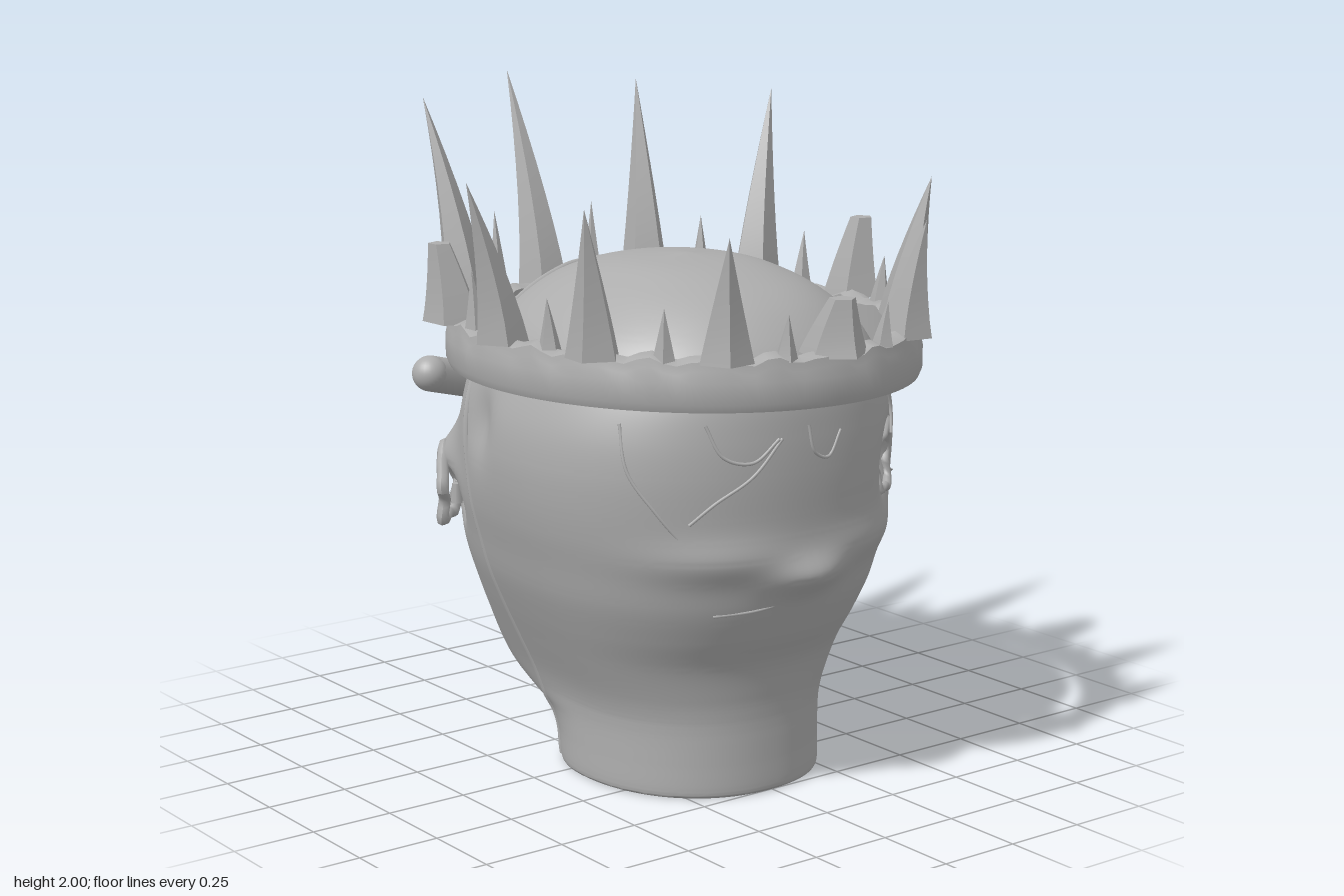
import * as THREE from 'three';
import { toCreasedNormals } from 'three/addons/utils/BufferGeometryUtils.js';

const V = (x, y, z) => new THREE.Vector3(x, y, z);
const ZC = 0.1, N = 2.15;

// Head cross-sections: height, half width, face z, nape z
const ROWS = [
  [0, 0.36, -0.25, 0.5], [0.015, 0.372, -0.26, 0.51], [0.1, 0.372, -0.285, 0.51],
  [0.16, 0.372, -0.36, 0.51], [0.2, 0.374, -0.51, 0.51], [0.24, 0.38, -0.62, 0.512],
  [0.3, 0.4, -0.675, 0.52], [0.4, 0.445, -0.7, 0.545], [0.5, 0.49, -0.715, 0.6],
  [0.6, 0.53, -0.725, 0.645], [0.7, 0.558, -0.715, 0.665], [0.8, 0.585, -0.69, 0.68],
  [0.9, 0.602, -0.65, 0.688], [1.0, 0.607, -0.64, 0.692], [1.1, 0.595, -0.632, 0.69],
  [1.2, 0.56, -0.61, 0.68], [1.29, 0.51, -0.56, 0.65], [1.36, 0.46, -0.5, 0.6],
  [1.43, 0.375, -0.4, 0.52], [1.48, 0.29, -0.29, 0.42], [1.52, 0.18, -0.13, 0.28], [1.54, 0.001, 0.099, 0.101],
];
const widths = new THREE.CatmullRomCurve3(ROWS.map(r => V(r[1], r[0], r[2])), false, 'catmullrom', 0.5);
const backs = new THREE.CatmullRomCurve3(ROWS.map(r => V(r[3], r[0], 0)), false, 'catmullrom', 0.5);
function section(t) {
  const a = widths.getPoint(t), b = backs.getPoint(t);
  return { y: a.y, rx: a.x, front: ZC - a.z, back: b.x - ZC };
}
function sectionAt(y) {
  let lo = 0, hi = 1;
  for (let i = 0; i < 24; i++) {
    const m = (lo + hi) / 2;
    if (widths.getPoint(m).y < y) lo = m; else hi = m;
  }
  return section(lo);
}
const arch = s => Math.pow(Math.max(0, 1 - Math.pow(Math.min(1, Math.abs(s)), N)), 1 / N);

// Soft swellings and hollows: centre, spread in x, y and z, depth
const BUMPS = [
  [0, 0.69, 0.66, 0.12, 0.055, 0.2, 0.055],       // mouth on the back mask
  [0.4, 0.95, 0.54, 0.07, 0.085, 0.07, -0.11],    // torn eye socket
  [-0.43, 0.78, -0.47, 0.07, 0.065, 0.08, -0.14], // torn cheek
  [0, 0.645, -0.72, 0.13, 0.032, 0.15, 0.045],    // upper lip
  [0, 0.565, -0.72, 0.11, 0.03, 0.15, 0.04],      // lower lip
  [0, 0.605, -0.72, 0.17, 0.012, 0.15, -0.02],    // mouth line
  [0, 0.6, -0.72, 0.22, 0.13, 0.2, 0.015],        // muzzle
  [0, 0.38, -0.7, 0.16, 0.09, 0.2, 0.012],        // chin
];
for (const s of [-1, 1]) BUMPS.push(
  [s * 0.25, 0.75, 0.6, 0.22, 0.065, 0.2, 0.025],   // ridge of the back mask
  [s * 0.39, 0.85, -0.5, 0.13, 0.12, 0.13, 0.1],    // cheeks
  [s * 0.58, 1.06, -0.16, 0.15, 0.1, 0.08, -0.035], // temples
  [s * 0.22, 0.96, -0.6, 0.1, 0.06, 0.2, -0.035],   // eye hollows
);

function headGeometry() {
  const U = 128, R = 210, pos = [], index = [];
  for (let j = -1; j <= R; j++) {
    const s = section(Math.max(0, j) / R);
    for (let i = 0; i <= U; i++) {
      const a = (i / U) * Math.PI * 2, sx = Math.sin(a), cz = Math.cos(a);
      if (j < 0) { pos.push(0, 0, ZC); continue; }
      const p = V(s.rx * Math.sign(sx) * Math.abs(sx) ** (2 / N), s.y,
        ZC + (cz > 0 ? s.back : s.front) * Math.sign(cz) * Math.abs(cz) ** (2 / N));
      let d = 0;
      for (const [x, y, z, wx, wy, wz, h] of BUMPS)
        d += h * Math.exp(-(((p.x - x) / wx) ** 2) - ((p.y - y) / wy) ** 2 - ((p.z - z) / wz) ** 2);
      p.addScaledVector(V(sx, 0, cz), d);
      pos.push(p.x, p.y, p.z);
    }
  }
  for (let j = 0; j <= R; j++) for (let i = 0; i < U; i++) {
    const a = j * (U + 1) + i, c = a + U + 1;
    index.push(a, a + 1, c + 1, a, c + 1, c);
  }
  const g = new THREE.BufferGeometry();
  g.setAttribute('position', new THREE.Float32BufferAttribute(pos, 3));
  g.setIndex(index);
  return toCreasedNormals(g, 0.9);
}

// Oval hoop with a worn upper edge
function bandGeometry() {
  const profile = [[0.585, 1.215], [0.63, 1.205], [0.658, 1.208], [0.667, 1.23], [0.667, 1.29], [0.66, 1.32],
    [0.656, 1.345], [0.62, 1.358], [0.582, 1.345], [0.585, 1.215]].map(p => new THREE.Vector2(...p));
  const g = new THREE.LatheGeometry(profile, 120), p = g.attributes.position;
  for (let i = 0; i < p.count; i++) {
    const x = p.getX(i), y = p.getY(i), z = p.getZ(i), a = Math.atan2(z, x);
    p.setZ(i, z + 0.085 * z / Math.hypot(x, z) + 0.08);
    if (y > 1.3) p.setY(i, y + 0.008 * Math.sin(a * 24) + 0.005 * Math.sin(a * 37));
  }
  return toCreasedNormals(g, 0.7);
}

// Five-sided horn that curves outward from its base to its tip
function spikeGeometry(base, tip, radius, topRatio = 0) {
  const g = new THREE.CylinderGeometry(radius * topRatio, radius, 1, 5, 7), p = g.attributes.position;
  const out = Math.atan2(base.x, base.z - 0.08);
  g.rotateY(out);
  for (let i = 0; i < p.count; i++) {
    const t = p.getY(i) + 0.5, bend = t ** 1.4;
    p.setXYZ(i, base.x + p.getX(i) + (tip.x - base.x) * bend, base.y + (tip.y - base.y) * t,
      base.z + p.getZ(i) + (tip.z - base.z) * bend);
  }
  return toCreasedNormals(g, 0.5);
}

export function createModel() {
  const model = new THREE.Group();
  const stone = new THREE.MeshStandardMaterial({ color: 0xadadad });
  stone.name = 'grey stone';
  const add = (name, geometry, parent = model) => {
    const m = new THREE.Mesh(geometry, stone);
    m.name = name;
    parent.add(m);
    return m;
  };
  const tube = (name, pts, r, parent) =>
    add(name, new THREE.TubeGeometry(new THREE.CatmullRomCurve3(pts), 40, r, 10), parent);
  const ball = (name, x, y, z, rx, ry, rz, parent) => {
    const m = add(name, new THREE.SphereGeometry(1, 28, 20), parent);
    m.position.set(x, y, z);
    m.scale.set(rx, ry, rz);
    return m;
  };

  const head = new THREE.Group();
  head.name = 'head';
  head.position.x = -0.012;
  model.add(head);
  add('skull', headGeometry(), head);

  // Seam where the face piece meets the skull
  const side = [];
  for (let i = 0; i <= 70; i++) {
    const y = 0.01 + 1.48 * i / 70, s = sectionAt(y), z = -0.11 - 0.18 * Math.min(1, y / 1.2);
    const x = s.rx * arch((z - ZC) / s.front);
    if (x > 0.02) side.push(V(x - 0.004, y, z));
  }
  const seam = [...side, ...side.slice().reverse().map(p => V(-p.x, p.y, p.z))];
  add('faceSeam', new THREE.TubeGeometry(new THREE.CatmullRomCurve3(seam), 240, 0.01, 6), head);

  // Brow, a shallow V with round ends
  const browEnd = V(0.45, 1.12, -0.595), browMid = V(0, 0.995, -0.735);
  for (const s of [-1, 1]) {
    const end = V(s * browEnd.x, browEnd.y, browEnd.z);
    tube('brow', [browMid, browMid.clone().lerp(end, 0.5), end], 0.055, head);
    ball('browEnd', end.x, end.y, end.z, 0.055, 0.055, 0.055, head);
    ball('eye', s * 0.23, 0.96, -0.585, 0.065, 0.032, 0.04, head);
  }
  ball('browCentre', browMid.x, browMid.y, browMid.z, 0.058, 0.058, 0.055, head);

  // Nose bridge standing clear of the face
  tube('noseBridge', [V(0, 1.0, -0.735), V(0, 0.9, -0.775), V(0, 0.8, -0.81)], 0.045, head);
  ball('noseTip', 0, 0.805, -0.805, 0.088, 0.063, 0.068, head);
  ball('noseBase', 0, 0.77, -0.74, 0.04, 0.035, 0.07, head);

  // Round cheek on the whole side of the face
  ball('cheek', 0.42, 0.85, -0.535, 0.108, 0.108, 0.108, head);

  // Ragged rims around the two wounds
  const rim = (name, c, yaw, r, rt) => {
    const g = new THREE.TorusGeometry(r, rt, 8, 40), p = g.attributes.position;
    for (let i = 0; i < p.count; i++) {
      const a = Math.atan2(p.getY(i), p.getX(i)), k = 1 + 0.1 * Math.sin(a * 5) + 0.07 * Math.sin(a * 8 + 1);
      p.setXYZ(i, p.getX(i) * k, p.getY(i) * k * 1.1, p.getZ(i) - 0.02 * Math.cos(a) ** 2);
    }
    g.computeVertexNormals();
    const m = add(name, g, head);
    m.position.copy(c);
    m.rotation.y = yaw;
    return m;
  };
  rim('socketRim', V(0.405, 0.95, 0.535), 0.66, 0.085, 0.014);
  const cheekRim = rim('cheekRim', V(-0.46, 0.79, -0.505), Math.PI + 0.75, 0.095, 0.019);
  for (let i = 0; i < 4; i++) {
    const tooth = add('tooth', new THREE.CylinderGeometry(0.014, 0.018, 0.06, 8), cheekRim);
    tooth.position.set(-0.054 + i * 0.036, -0.01, -0.05);
  }

  // Shallow cracks on the back mask, given as x, y
  const cracks = [
    [[-0.49, 1.15], [-0.49, 1.02], [-0.43, 0.9], [-0.36, 0.8]],
    [[-0.32, 1.15], [-0.28, 1.06], [-0.2, 1.04], [-0.12, 1.1]],
    [[-0.11, 1.1], [-0.2, 1.0], [-0.3, 0.93], [-0.36, 0.87]],
    [[-0.02, 1.13], [0.0, 1.05], [0.05, 1.03], [0.1, 1.1]],
    [[-0.27, 0.59], [-0.15, 0.6], [0, 0.625]],
    [[0.38, 1.16], [0.4, 1.1], [0.39, 1.03]],
    [[0.47, 0.9], [0.51, 0.86], [0.5, 0.79]],
  ];
  for (const c of cracks)
    tube('crack', c.map(([x, y]) => {
      const s = sectionAt(y);
      return V(x, y, ZC + s.back * arch(x / s.rx));
    }), 0.005, head);

  // Crown band and its ring of horns: base x, z, then tip x, y, z
  const crown = new THREE.Group();
  crown.name = 'crown';
  model.add(crown);
  add('crownBand', bandGeometry(), crown).position.x = -0.013;
  const horns = [
    [-0.01, -0.64, -0.01, 2.0, -0.83], [-0.35, -0.56, -0.41, 1.95, -0.69], [0.33, -0.56, 0.39, 1.96, -0.69],
    [0.56, -0.29, 0.67, 1.94, -0.35], [-0.645, 0.07, -0.76, 1.8, 0.08],
    [-0.575, 0.42, -0.64, 1.76, 0.47], [0.55, 0.42, 0.61, 1.75, 0.47],
    [-0.33, 0.69, -0.365, 1.69, 0.75], [0.32, 0.69, 0.34, 1.68, 0.75],
  ];
  for (const [x, z, tx, ty, tz] of horns)
    add('horn', spikeGeometry(V(x, 1.34, z), V(tx, ty, tz), 0.08), crown);

  // Three broken horns
  add('brokenHorn', spikeGeometry(V(0.655, 1.34, 0.07), V(0.68, 1.58, 0.08), 0.09, 0.38), crown);
  add('brokenHorn', spikeGeometry(V(-0.57, 1.34, -0.29), V(-0.6, 1.57, -0.31), 0.09, 0.38), crown);
  add('brokenHorn', spikeGeometry(V(-0.01, 1.34, 0.765), V(-0.01, 1.5, 0.8), 0.1, 0.38), crown);

  // Small studs between the horns: x, z, top
  const studs = [[0.18, -0.63, 1.59], [0.47, -0.45, 1.54], [0.605, -0.11, 1.52], [0.605, 0.26, 1.49],
    [0.45, 0.58, 1.49], [0.175, 0.765, 1.47]];
  for (const s of [-1, 1]) for (const [x, z, top] of studs)
    add('stud', spikeGeometry(V(s * x - 0.005, 1.34, z), V(s * x * 1.02 - 0.005, top, z * 1.02), 0.034), crown);
  return model;
}
